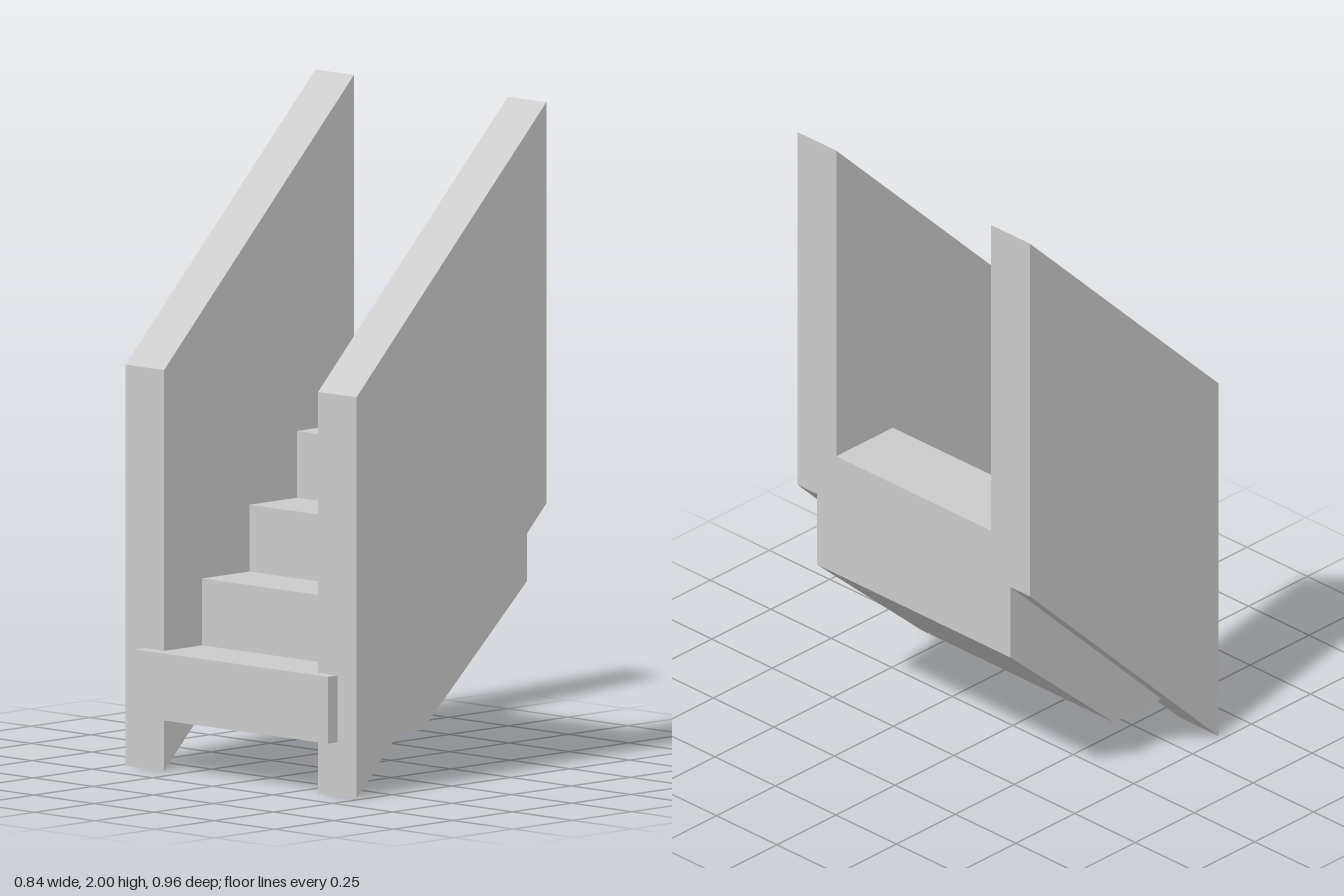
import * as THREE from 'three';

const material = new THREE.MeshStandardMaterial({ color: 0xcccccc, flatShading: true });

// Extrude an x/y profile along z, centred on the given z.
function slab(name, points, width, z) {
  const shape = new THREE.Shape(points.map(([x, y]) => new THREE.Vector2(x, y)));
  const geometry = new THREE.ExtrudeGeometry(shape, { depth: width, bevelEnabled: false });
  geometry.translate(0, 0, z - width / 2);
  const mesh = new THREE.Mesh(geometry, material);
  mesh.name = name;
  return mesh;
}

export function createModel() {
  const group = new THREE.Group();
  group.name = 'staircase';

  // Stepped flight with a sloping underside
  const steps = 4, run = 0.2, rise = 0.2, startX = -0.42, endX = 0.42, baseY = 0.16;
  const profile = [[startX, baseY], [-0.02, baseY], [endX, 0.56]];
  for (let i = steps - 1; i >= 0; i--) {
    const top = baseY + rise * (i + 1);
    profile.push([i === steps - 1 ? endX : startX + run * (i + 1), top]);
    profile.push([startX + run * i, top]);
  }
  group.add(slab('stairFlight', profile, 0.8, 0));

  // Slanted parapet walls on both sides
  const wall = [[-0.38, 0], [0.42, 0.8], [0.42, 2], [-0.38, 1.2]];
  for (const [name, side] of [['frontWall', 1], ['backWall', -1]]) {
    group.add(slab(name, wall, 0.16, side * 0.4));
  }
  return group;
}
